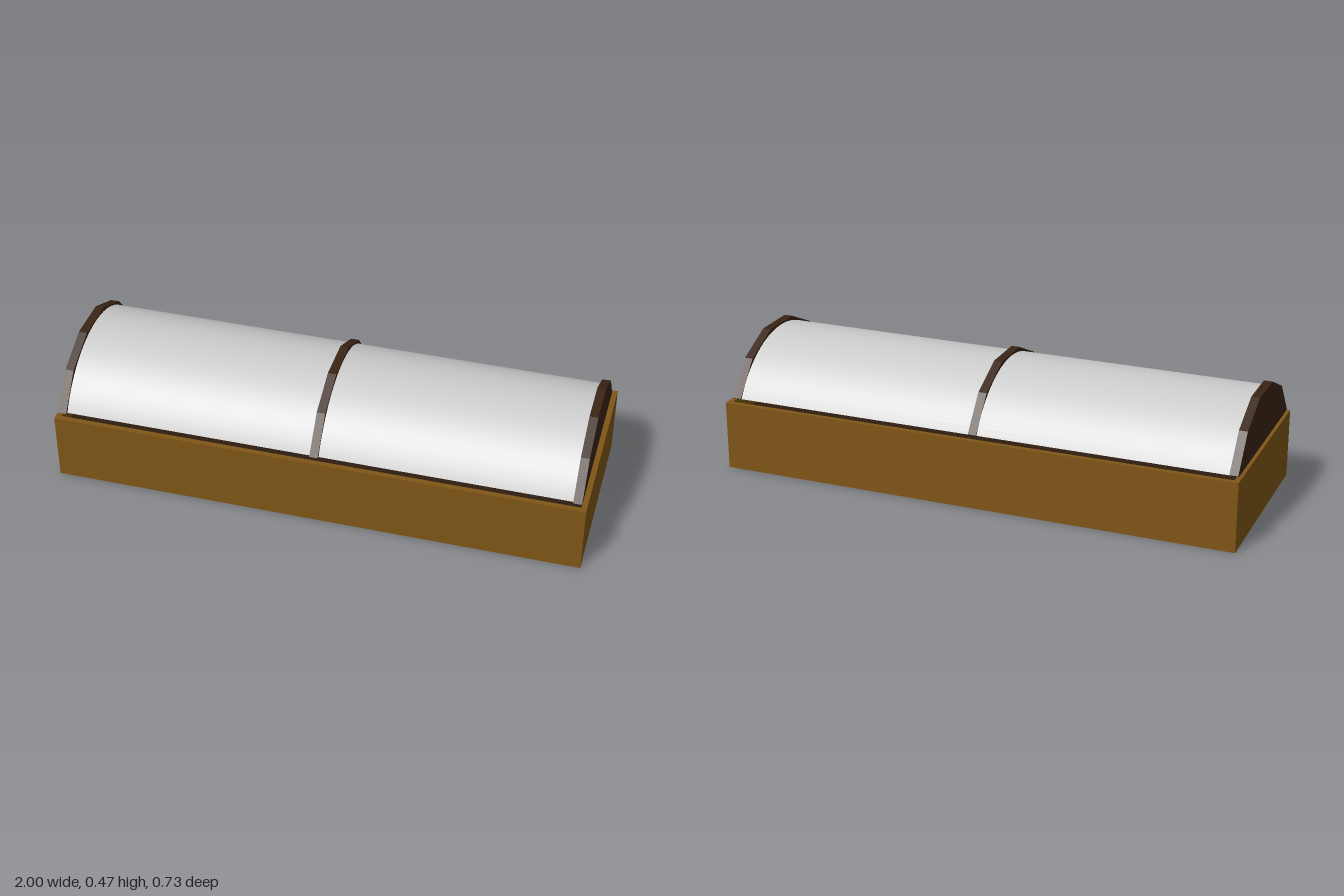
import * as THREE from 'three';

const mat = (color, extra = {}) => new THREE.MeshStandardMaterial({ color, ...extra });

export function createModel() {
  const root = new THREE.Group();
  const wood = mat(0x805616);
  const darkWood = mat(0x3a2515);
  const soilMat = mat(0x2e1d10);
  const leafMat = mat(0x2f6b25, { side: THREE.DoubleSide });
  const coverMat = mat(0xcccccc, { side: THREE.DoubleSide });

  const add = (name, geometry, material, x = 0, y = 0, z = 0, parent = root) => {
    const mesh = new THREE.Mesh(geometry, material);
    mesh.name = name;
    mesh.position.set(x, y, z);
    parent.add(mesh);
    return mesh;
  };

  // Open planter box: four walls and a floor
  const H = 0.265, W = 0.726, T = 0.02;
  for (const s of [-1, 1]) {
    add('longWall', new THREE.BoxGeometry(2, H, T), wood, 0, H / 2, s * (W - T) / 2);
    add('endWall', new THREE.BoxGeometry(T, H, W - 2 * T), wood, s * (1 - T / 2), H / 2, 0);
  }
  add('floor', new THREE.BoxGeometry(2 - 2 * T, 0.02, W - 2 * T), wood, 0, 0.01, 0);
  add('soil', new THREE.BoxGeometry(2 - 2 * T, 0.18, W - 2 * T), soilMat, 0, 0.11, 0);

  // Two rows of sprouts, each a ring of tilted leaves
  const leaf = new THREE.SphereGeometry(1, 6, 4);
  leaf.scale(0.008, 0.028, 0.004);
  leaf.translate(0, 0.026, 0);
  for (const z of [-0.165, 0.16]) {
    for (let i = 0; i < 5; i++) {
      const sprout = new THREE.Group();
      sprout.name = 'sprout';
      sprout.position.set(-0.75 + i * 0.375, 0.198, z);
      sprout.scale.y = i === 0 ? 1.3 : 1.05;
      for (let k = 0; k < 6; k++) {
        const blade = add('leaf', leaf, leafMat, 0, 0, 0, sprout);
        blade.rotation.set(0.4, k * Math.PI / 3, 0, 'YXZ');
      }
      root.add(sprout);
    }
  }

  // Faceted bulkheads carrying the cover
  const half = [[0.33, 0.272], [0.34, 0.278], [0.237, 0.405], [0.087, 0.475]];
  const outline = [...half, ...half.map(([z, y]) => [-z, y]).reverse()];
  const profile = new THREE.Shape(outline.map(([z, y]) => new THREE.Vector2(z, y)));
  const rib = new THREE.ExtrudeGeometry(profile, { depth: 0.032, bevelEnabled: false });
  rib.translate(0, 0, -0.016);
  rib.rotateY(-Math.PI / 2);
  for (const x of [-0.975, 0, 0.965]) add('rib', rib, darkWood, x, 0, 0.003);

  // Smooth curved cover, an open arc swept along x
  const R = 0.381, cy = 0.087, sweep = Math.acos((0.275 - cy) / R);
  const cover = new THREE.CylinderGeometry(R, R, 1.94, 40, 1, true, -sweep, 2 * sweep);
  cover.rotateX(-Math.PI / 2); // arc middle turns to +y
  cover.rotateY(Math.PI / 2);  // axis turns to x
  add('cover', cover, coverMat, -0.005, cy, 0);

  return root;
}
